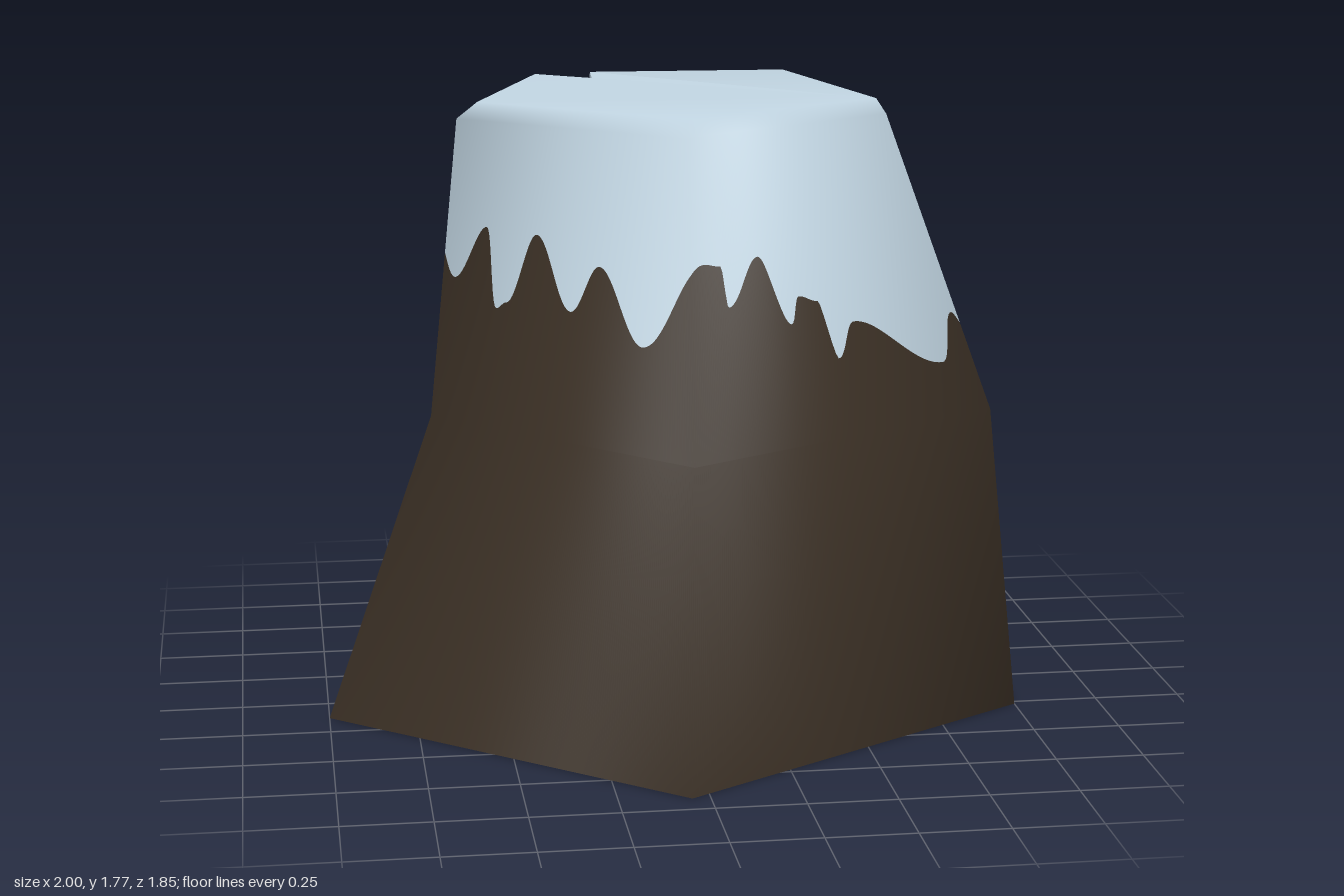
import * as THREE from 'three';

const rock = new THREE.MeshStandardMaterial({ color: 0x3b3025, side: THREE.DoubleSide });
rock.name = 'dark rock';
const snow = new THREE.MeshStandardMaterial({ color: 0xc2d6e3, side: THREE.DoubleSide });
snow.name = 'pale snow';

const v = (x, y, z) => new THREE.Vector3(x, y, z);

// Cross-sections, each running back-left lip, left, front, right, back-right, back lip
const rings = [
  [0, [-0.58, -0.87], [-1, 0.13], [-0.05, 0.92], [1, 0.27], [0.7, -0.93], [-0.41, -0.91]],
  [0.89, [-0.36, -0.65], [-0.69, 0.12], [-0.03, 0.81], [0.91, 0.25], [0.67, -0.68], [-0.17, -0.67]],
  [1.73, [-0.34, -0.6], [-0.6, 0.05], [-0.01, 0.52], [0.62, 0.11], [0.48, -0.61], [-0.15, -0.62]],
  [1.775, [-0.32, -0.57], [-0.54, 0.04], [-0.01, 0.46], [0.59, 0.11], [0.44, -0.58], [-0.15, -0.6]],
].map(([y, ...pts]) => pts.map(([x, z]) => v(x, y, z)));

// Deepest line of the cleft
const cleft = [v(-0.39, 0, -0.8), v(-0.15, 0.89, -0.56), v(-0.13, 1.68, -0.5)];

// Snow edge per side: [fraction along the side, height] at each peak and drip tip
const drips = [
  [[0, 1.2], [0.06, 1.2], [0.2, 1.05], [0.24, 1.17], [0.34, 1.11], [0.4, 1.22], [0.46, 1.16], [0.53, 1.21],
    [0.6, 1.15], [0.67, 1.28], [0.72, 1.21], [0.79, 1.3], [0.87, 1.27], [0.96, 1.4]],
  [[0.05, 1.29], [0.17, 1.44], [0.23, 1.22], [0.27, 1.24], [0.38, 1.435], [0.53, 1.24], [0.64, 1.37], [0.81, 1.175]],
  [[0.05, 1.4], [0.12, 1.39], [0.14, 1.28], [0.27, 1.4], [0.37, 1.21], [0.41, 1.28], [0.48, 1.26], [0.52, 1.1],
    [0.6, 1.19], [0.89, 1.04], [0.98, 1.17]],
  [[0.03, 1.07], [0.12, 1.14], [0.23, 1.305], [0.38, 1.21], [0.44, 1.345], [0.49, 1.31], [0.56, 1.12], [0.575, 1.31],
    [0.63, 1.36], [0.83, 1.2], [0.86, 1.32], [0.91, 1.335], [0.98, 1.29]],
  [[0.03, 1.24], [0.1, 1.13], [0.35, 1.33], [0.45, 1.33], [0.55, 1.24], [0.62, 1.355], [0.7, 1.34], [0.77, 1.19],
    [0.85, 1.29], [0.9, 1.29], [0.97, 1.13], [1, 1.21]],
].flatMap((side, i) => side.map(([f, h]) => [i + f, h]));

function snowEdge(u) {
  const k = Math.max(1, drips.findIndex((d) => d[0] >= u));
  const [u0, h0] = drips[k - 1], [u1, h1] = drips[k];
  const t = THREE.MathUtils.clamp((u - u0) / (u1 - u0), 0, 1);
  return h0 + (h1 - h0) * (0.5 - 0.5 * Math.cos(Math.PI * t));
}

// Smooth normals of the coarse faceted body
function ringNormals() {
  const index = [];
  for (let r = 0; r < 3; r++) {
    for (let i = 0; i < 5; i++) {
      const a = r * 6 + i;
      index.push(a, a + 1, a + 7, a, a + 7, a + 6);
    }
  }
  index.push(21, 18, 19, 21, 19, 20, 21, 22, 23);
  const g = new THREE.BufferGeometry().setFromPoints(rings.flat());
  g.setIndex(index);
  g.computeVertexNormals();
  const n = g.attributes.normal;
  return rings.map((ring, r) => ring.map((_, i) => new THREE.Vector3().fromBufferAttribute(n, r * 6 + i)));
}

// Strip of columns; each column is a list of { p, n } from bottom to top
function skin(columns, extraFaces = [], extraVerts = []) {
  const rows = columns[0].length, verts = [...columns.flat(), ...extraVerts], index = [];
  for (let c = 0; c < columns.length - 1; c++) {
    for (let r = 0; r < rows - 1; r++) {
      const a = c * rows + r, b = a + rows;
      index.push(a, b, b + 1, a, b + 1, a + 1);
    }
  }
  const g = new THREE.BufferGeometry();
  g.setAttribute('position', new THREE.Float32BufferAttribute(verts.flatMap((q) => q.p.toArray()), 3));
  g.setAttribute('normal', new THREE.Float32BufferAttribute(verts.flatMap((q) => q.n.toArray()), 3));
  g.setIndex([...index, ...extraFaces.map((k) => k + columns.length * rows)]);
  return g;
}

// Flat faces from loose triangles
function facets(points) {
  const g = new THREE.BufferGeometry().setFromPoints(points);
  g.computeVertexNormals();
  return g;
}

const quad = (a, b, c, d) => [a, b, c, a, c, d];

export function createModel() {
  const group = new THREE.Group();
  const add = (name, geometry, material) => {
    const mesh = new THREE.Mesh(geometry, material);
    mesh.name = name;
    group.add(mesh);
  };

  const normals = ringNormals();
  const mix = (a, b, t) => ({ p: a.p.clone().lerp(b.p, t), n: a.n.clone().lerp(b.n, t).normalize() });
  const corner = (r, i) => ({ p: rings[r][i], n: normals[r][i] });

  // Outer walls, split along the dripping snow edge
  const rockColumns = [], snowColumns = [];
  const steps = 160;
  for (let s = 0; s <= 5 * steps; s++) {
    const i = Math.min(4, Math.floor(s / steps)), f = s / steps - i;
    const [base, waist, shoulder, top] = rings.map((_, r) => mix(corner(r, i), corner(r, i + 1), f));
    const edge = mix(waist, shoulder, (snowEdge(i + f) - 0.89) / 0.84);
    rockColumns.push([base, waist, edge]);
    snowColumns.push([edge, shoulder, top]);
  }
  add('rockBody', skin(rockColumns), rock);

  // Snow cap: the top is fanned from the tip of the cleft
  const topVerts = rings[3].map((_, i) => corner(3, i));
  add('snowCap', skin(snowColumns, [3, 0, 1, 3, 1, 2, 3, 4, 5], topVerts), snow);

  // Cleft walls, rock below and snow above
  const cut = 0.4;
  const lipE = rings.map((r) => r[0]), lipD = rings.map((r) => r[5]), tip = rings[3][3];
  const at = (line) => line[1].clone().lerp(line[2], cut);
  const rockFaces = [], snowFaces = [];
  for (const [a, b] of [[lipD, cleft], [cleft, lipE]]) {
    rockFaces.push(...quad(a[0], b[0], b[1], a[1]), ...quad(a[1], b[1], at(b), at(a)));
    snowFaces.push(...quad(at(a), at(b), b[2], a[2]));
  }
  snowFaces.push(
    lipD[2], cleft[2], lipD[3], lipD[3], cleft[2], tip,
    cleft[2], lipE[2], lipE[3], cleft[2], lipE[3], tip,
  );
  add('cleftRock', facets(rockFaces), rock);
  add('cleftSnow', facets(snowFaces), snow);

  return group;
}
